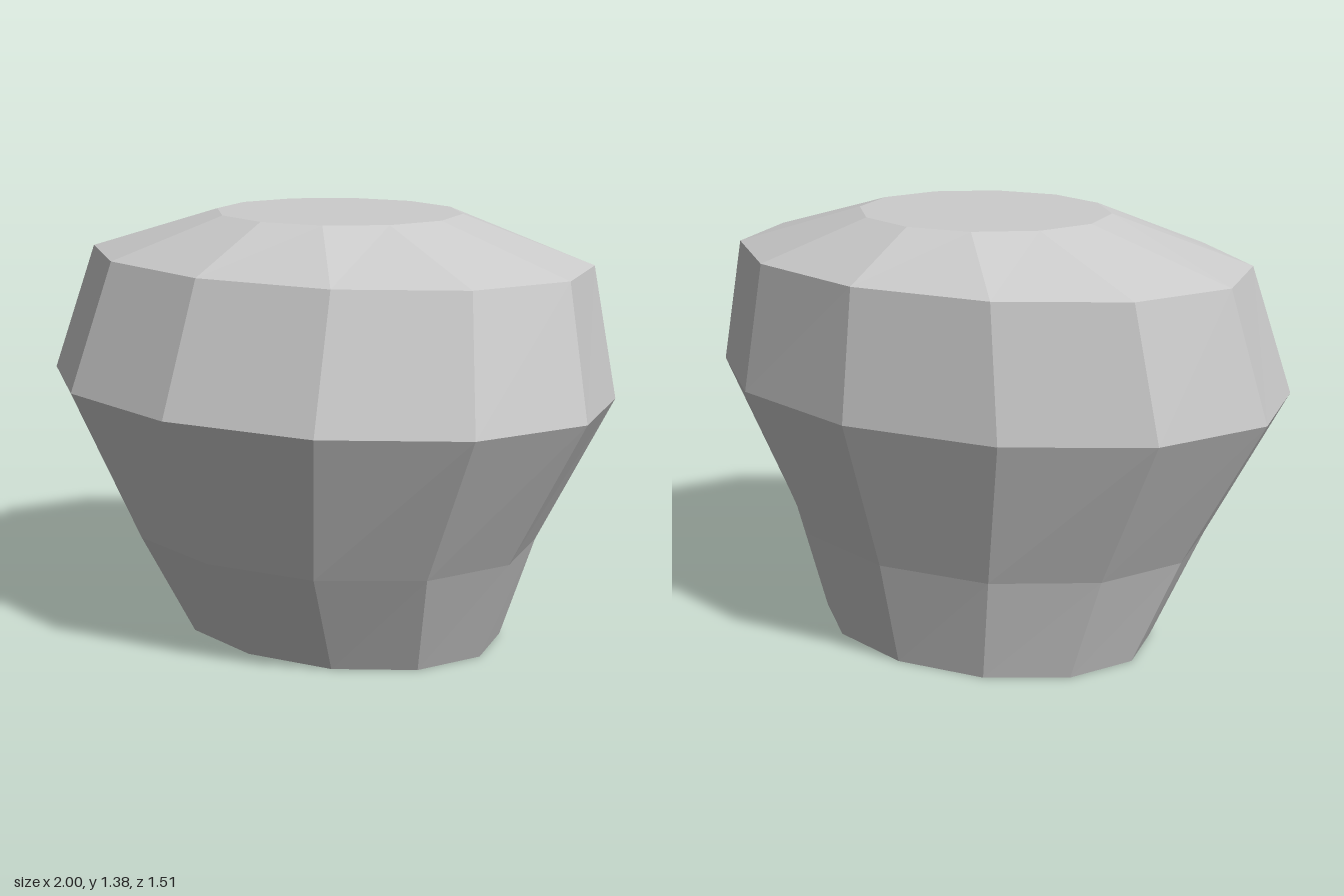
import * as THREE from 'three';

const SIDES = 12;
// Cross-sections from bottom to top: height, half width, half depth, z offset
const RINGS = [
  [0, 0.585, 0.45, -0.068],
  [0.345, 0.725, 0.585, -0.015],
  [0.83, 1, 0.757, 0],
  [1.24, 0.895, 0.656, -0.052],
  [1.38, 0.41, 0.38, -0.07],
];

function ringPoint([y, rx, rz, cz], i) {
  const a = (i / SIDES) * Math.PI * 2;
  return [Math.sin(a) * rx, y, Math.cos(a) * rz + cz];
}

function facetedGeometry(rings) {
  const pos = [];
  const tri = (a, b, c) => pos.push(...a, ...b, ...c);
  const low = rings[0];
  const high = rings[rings.length - 1];
  for (let i = 0; i < SIDES; i++) {
    // Walls between neighbouring cross-sections
    for (let r = 0; r < rings.length - 1; r++) {
      const a = ringPoint(rings[r], i);
      const b = ringPoint(rings[r], i + 1);
      const c = ringPoint(rings[r + 1], i + 1);
      const d = ringPoint(rings[r + 1], i);
      tri(a, b, c);
      tri(a, c, d);
    }
    // Flat base and flat top
    tri([0, low[0], low[3]], ringPoint(low, i + 1), ringPoint(low, i));
    tri([0, high[0], high[3]], ringPoint(high, i), ringPoint(high, i + 1));
  }
  const geometry = new THREE.BufferGeometry();
  geometry.setAttribute('position', new THREE.Float32BufferAttribute(pos, 3));
  geometry.computeVertexNormals();
  return geometry;
}

export function createModel() {
  const group = new THREE.Group();
  group.name = 'facetedStone';

  const stoneGrey = new THREE.MeshStandardMaterial({ color: 0xcccccc });
  stoneGrey.name = 'stoneGrey';
  stoneGrey.flatShading = true;

  const body = new THREE.Mesh(facetedGeometry(RINGS), stoneGrey);
  body.name = 'stoneBody';
  group.add(body);
  return group;
}
